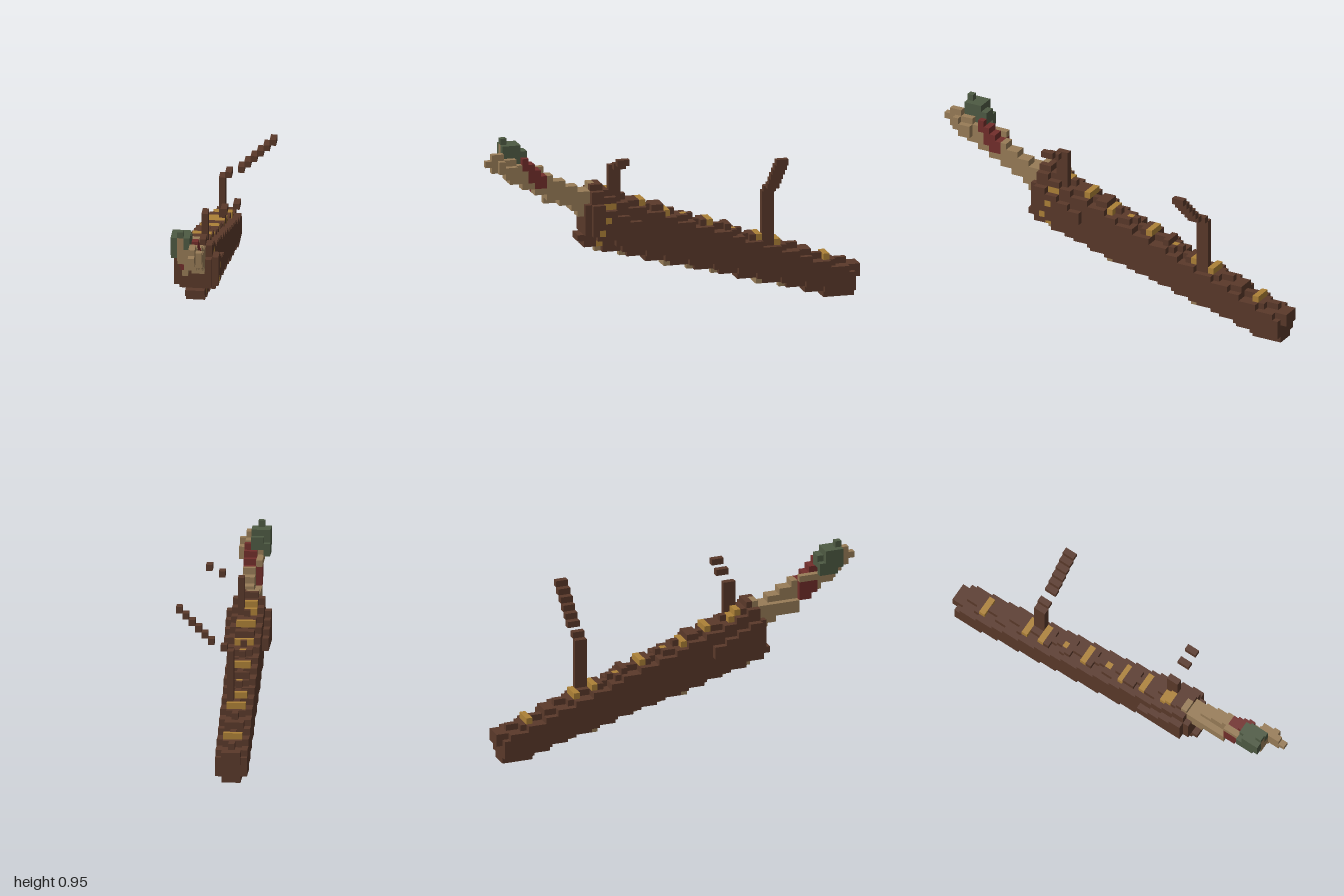
import * as THREE from 'three';

const V = 2 / 61;                       // cube size
const HALF_X = 6.5, HALF_Z = 30.5;      // grid centre

const material = (name, color) => {
  const m = new THREE.MeshStandardMaterial({ color });
  m.name = name;
  return m;
};

// The six face directions with two tangents whose cross product is the normal
const FACES = [0, 1, 2].flatMap(a => [1, -1].map(s => {
  const unit = i => [0, 1, 2].map(n => (n === i ? 1 : 0));
  const u = unit((a + 1) % 3), w = unit((a + 2) % 3);
  return { n: unit(a).map(c => c * s), u: s > 0 ? u : w, w: s > 0 ? w : u };
}));

export function createModel() {
  const brown = material('darkWood', 0x5a392a);
  const tan = material('paleWood', 0x987c57);
  const gold = material('brass', 0xad8137);
  const red = material('redBinding', 0x722e2b);
  const green = material('greenTip', 0x4e5a43);

  const cells = new Map();
  const parts = new Map();

  // Fills an inclusive block of cubes; later blocks repaint earlier ones
  const fill = (part, mat, x0, x1, y0, y1, z0, z1) => {
    if (!parts.has(part)) parts.set(part, mat);
    for (let x = x0; x <= x1; x++)
      for (let y = y0; y <= y1; y++)
        for (let z = z0; z <= z1; z++) cells.set([x, y, z].join(), part);
  };

  // Tapered, sloping body with chamfered long edges and a knobbly ridge
  const bottom = k => Math.max(0, Math.round(k * 0.27 - 0.9));
  const top = k => Math.min(20, Math.round(3.9 + k * 0.365 + (k > 39 ? 0.6 : 0)));
  fill('body', brown, 2, 4, 3, 4, 0, 0);
  for (let k = 1; k <= 43; k++) {
    const ridge = k % 4 > 1 && k < 39 ? 1 : 0;
    const chamfer = k < 40 ? 1 : 2;
    fill('body', brown, 2, 4, bottom(k), top(k) - ridge, k, k);
    fill('body', brown, 3, 3, top(k), top(k), k, k);
    fill('body', brown, 1, 5, bottom(k) + chamfer, top(k) - 1, k, k);
  }

  // Swollen cheeks and narrower front face
  for (let k = 36; k <= 43; k++) {
    fill('cheeks', brown, 0, 6, 13, 13 + Math.floor((k - 34) / 2), k, k);
  }
  fill('frontFace', brown, 2, 4, 11, 17, 44, 44);
  fill('frontFace', brown, 1, 5, 13, 17, 44, 44);
  fill('frontFace', brown, 2, 4, 12, 12, 45, 45);

  // Brass bands and studs along the top ridge
  for (const k of [5, 13, 16, 24, 31, 35]) fill('topBands', gold, 2, 4, top(k), top(k), k, k);
  for (const k of [20, 28]) fill('topBands', gold, 3, 3, top(k), top(k), k, k);
  for (const k of [39, 40]) fill('topBands', gold, 2, 3, top(k), top(k), k, k);

  // Brass studs on the left side of the front end
  fill('sideStuds', gold, 5, 5, 17, 17, 40, 41);
  fill('sideStuds', gold, 6, 6, 15, 15, 41, 41);
  fill('sideStuds', gold, 6, 6, 13, 13, 42, 42);
  fill('sideStuds', gold, 4, 4, 11, 11, 42, 42);

  // Pale inlays on the stepped underside, the narrow ones standing proud
  const inlayWidth = { 2: 0, 3: 1, 5: 0, 6: 0, 7: 1, 9: 0, 10: 0 };
  for (let k = 1; k < 43; k++) {
    const j = bottom(k), w = inlayWidth[j];
    if (w === undefined || bottom(k + 1) === j) continue;
    fill('undersideInlays', tan, 3 - w, 3 + w, j, j, k, k);
    if (w === 0) for (const x of [2, 4]) cells.delete([x, j, k].join());
  }

  // Neck rising out of the front end, lower on its right side
  for (let k = 43; k <= 56; k++) {
    const c = 18.2 + (k - 44) * 0.47;
    const lo = Math.round(c - 1.7), hi = Math.round(c + 0.8);
    fill('neck', tan, 3, 4, lo - (k < 46 ? 1 : 0), hi, k, k);
    if (k < 51) fill('neck', tan, 2, 2, Math.min(lo, 18), Math.min(hi, 19), k, k);
    if (k === 43) fill('neck', tan, 2, 3, hi, top(k), k, k);
  }
  fill('neck', tan, 2, 2, 23, 23, 51, 54);

  // Rounded, stepped end of the neck
  fill('neckEnd', tan, 2, 3, 23, 24, 55, 56);
  fill('neckEnd', tan, 2, 2, 24, 27, 57, 57);
  fill('neckEnd', tan, 3, 3, 24, 25, 57, 57);
  fill('neckEnd', tan, 4, 4, 23, 24, 56, 56);
  fill('neckEnd', tan, 4, 4, 23, 25, 57, 57);
  fill('neckEnd', tan, 4, 4, 24, 26, 58, 59);
  fill('neckEnd', tan, 5, 5, 23, 24, 56, 57);
  fill('neckEnd', tan, 5, 5, 24, 25, 58, 58);
  fill('neckEnd', tan, 4, 4, 25, 25, 60, 60);

  // Red binding around the neck
  fill('binding', red, 3, 4, 21, 22, 51, 51);
  fill('binding', red, 3, 4, 21, 23, 52, 52);
  fill('binding', red, 3, 4, 22, 24, 53, 53);
  fill('binding', red, 3, 4, 24, 25, 54, 54);
  fill('binding', red, 2, 2, 20, 22, 51, 52);
  fill('binding', red, 2, 2, 21, 22, 53, 53);

  // Green tuft beside the tip
  fill('tuft', green, 1, 1, 24, 25, 54, 54);
  fill('tuft', green, 1, 1, 24, 27, 55, 56);
  fill('tuft', green, 1, 1, 25, 27, 57, 57);
  fill('tuft', green, 2, 3, 25, 26, 54, 54);
  fill('tuft', green, 2, 3, 25, 27, 55, 56);
  fill('tuft', green, 3, 3, 26, 27, 57, 57);
  fill('tuft', green, 2, 2, 28, 28, 57, 57);

  // Front post with a broken, shallow arm
  fill('frontPost', brown, 4, 4, 18, 23, 39, 40);
  fill('frontArm', brown, 7, 7, 24, 24, 39, 40);
  fill('frontArm', brown, 9, 9, 25, 25, 39, 40);

  // Rear post with a diagonal arm
  fill('rearPost', brown, 4, 4, 9, 17, 14, 15);
  fill('rearArm', brown, 5, 5, 18, 18, 14, 15);
  for (let i = 0; i < 6; i++) fill('rearArm', brown, 7 + i, 7 + i, 19 + i, 19 + i, 14, 15);

  // Turn each part into a mesh of its exposed cube faces
  const group = new THREE.Group();
  group.name = 'model';
  for (const [name, mat] of parts) {
    const pos = [], nor = [];
    for (const [key, part] of cells) {
      if (part !== name) continue;
      const p = key.split(',').map(Number);
      for (const { n, u, w } of FACES) {
        if (cells.has(p.map((c, i) => c + n[i]).join())) continue;
        for (const [a, b] of [[-1, -1], [1, -1], [1, 1], [-1, -1], [1, 1], [-1, 1]]) {
          const q = p.map((c, i) => c + 0.5 + 0.5 * (n[i] + a * u[i] + b * w[i]));
          pos.push((q[0] - HALF_X) * V, q[1] * V, (q[2] - HALF_Z) * V);
          nor.push(...n);
        }
      }
    }
    const geo = new THREE.BufferGeometry();
    geo.setAttribute('position', new THREE.Float32BufferAttribute(pos, 3));
    geo.setAttribute('normal', new THREE.Float32BufferAttribute(nor, 3));
    const mesh = new THREE.Mesh(geo, mat);
    mesh.name = name;
    group.add(mesh);
  }
  return group;
}
